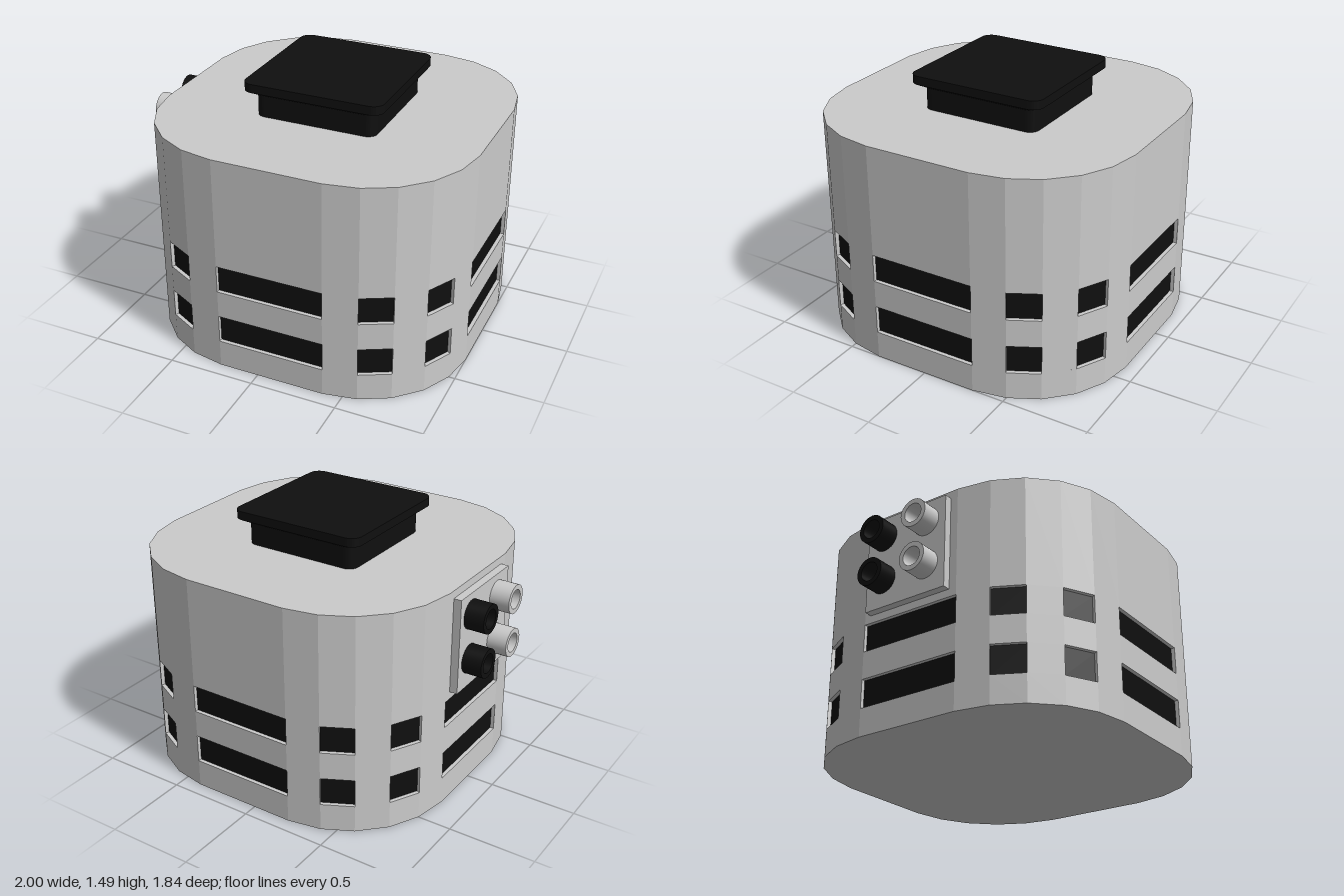
import * as THREE from 'three';
import { toCreasedNormals } from 'three/addons/utils/BufferGeometryUtils.js';

const CX = 0.08; // centre of the housing in x
const TOP = 1.285;
const RECESS = 0.025;
const SLOTS = [[0.16, 0.325], [0.485, 0.645]];

const grey = new THREE.MeshStandardMaterial({ color: 0xcccccc });
const black = new THREE.MeshStandardMaterial({ color: 0x0f0f0f });

function addMesh(parent, name, geometry, material) {
  const mesh = new THREE.Mesh(geometry, material);
  mesh.name = name;
  parent.add(mesh);
  return mesh;
}

// Upright prism of a plan shape between two heights
function prism(shape, y0, y1) {
  return new THREE.ExtrudeGeometry(shape, { depth: y1 - y0, bevelEnabled: false, curveSegments: 4 })
    .rotateX(-Math.PI / 2).translate(0, y0, 0);
}

// 24-sided rounded-square plan, counter-clockwise
function planPoints() {
  const corner = [[0.92, 0.31], [0.885, 0.5], [0.8, 0.665], [0.665, 0.8], [0.5, 0.885], [0.31, 0.92]];
  const points = [];
  for (let q = 0; q < 4; q++) {
    for (const [x, y] of corner) {
      points.push(new THREE.Vector2(x, y).rotateAround(new THREE.Vector2(), q * Math.PI / 2));
    }
  }
  return points;
}

// Square plan with small rounded corners
function roundedSquare(h, r) {
  const s = new THREE.Shape();
  s.absarc(h - r, h - r, r, 0, Math.PI / 2);
  s.absarc(r - h, h - r, r, Math.PI / 2, Math.PI);
  s.absarc(r - h, r - h, r, Math.PI, Math.PI * 1.5);
  s.absarc(h - r, r - h, r, Math.PI * 1.5, Math.PI * 2);
  s.closePath();
  return s;
}

function buildHousing() {
  const housing = new THREE.Group();
  housing.name = 'housing';
  const points = planPoints();

  // Every second side is a slotted one, set back in the slot bands
  const notched = [];
  const sides = [];
  points.forEach((a, i) => {
    const b = points[(i + 1) % points.length];
    notched.push(a);
    if (i % 2 === 0) return;
    const inward = new THREE.Vector2(a.y - b.y, b.x - a.x).normalize().multiplyScalar(RECESS);
    const a2 = a.clone().add(inward), b2 = b.clone().add(inward);
    notched.push(a2, b2);
    sides.push([a2, b2]);
  });

  // Solid bands alternate with slot bands
  const levels = [0, ...SLOTS.flat(), TOP];
  for (let i = 0; i < levels.length - 1; i++) {
    const slotted = i % 2 === 1;
    const shape = new THREE.Shape(slotted ? notched : points);
    addMesh(housing, slotted ? 'slotBand' : 'wallBand', prism(shape, levels[i], levels[i + 1]), grey);
  }

  // Dark panels at the back of the slots
  for (const [y0, y1] of SLOTS) {
    for (const [a, b] of sides) {
      const panel = addMesh(housing, 'windowPanel',
        new THREE.BoxGeometry(a.distanceTo(b), y1 - y0, 0.006), black);
      panel.position.set((a.x + b.x) / 2, (y0 + y1) / 2, -(a.y + b.y) / 2);
      panel.rotation.y = Math.atan2(b.y - a.y, b.x - a.x);
    }
  }
  return housing;
}

function buildCap() {
  const cap = new THREE.Group();
  cap.name = 'topCap';
  const lip = 0.405, neck = 0.35, flareY = 1.41, lipY = 1.44;
  addMesh(cap, 'capNeck', prism(roundedSquare(neck, 0.055), TOP, flareY), black);
  addMesh(cap, 'capLip', prism(roundedSquare(lip, 0.064), lipY, 1.49), black);

  // Flare: lip outline drawn in at its lower end
  const flare = prism(roundedSquare(lip, 0.064), flareY, lipY);
  const p = flare.attributes.position;
  for (let i = 0; i < p.count; i++) {
    if (p.getY(i) < (flareY + lipY) / 2) {
      p.setX(i, p.getX(i) * neck / lip);
      p.setZ(i, p.getZ(i) * neck / lip);
    }
  }
  flare.computeVertexNormals();
  addMesh(cap, 'capFlare', flare, black);
  return cap;
}

function buildConnectors() {
  const connectors = new THREE.Group();
  connectors.name = 'connectors';
  const face = -0.885;
  addMesh(connectors, 'connectorPlate', new THREE.BoxGeometry(0.055, 0.55, 0.535), grey)
    .position.set(face + 0.0275, 0.965, -0.003);

  // Hollow sockets: dark pair towards the back, grey pair towards the front
  const R = 0.083, r = 0.055, h = 0.115;
  const profile = [[R, 0], [R, h], [r, h], [r, 0]].map(([x, y]) => new THREE.Vector2(x, y));
  const tube = toCreasedNormals(new THREE.LatheGeometry(profile, 32), 0.6);
  for (const y of [0.856, 1.118]) {
    for (const [z, material] of [[-0.153, black], [0.136, grey]]) {
      const socket = addMesh(connectors, 'socket', tube, material);
      socket.position.set(face, y, z);
      socket.rotation.z = Math.PI / 2;
    }
  }
  return connectors;
}

export function createModel() {
  const model = new THREE.Group();
  model.name = 'device';
  const housing = buildHousing();
  const cap = buildCap();
  housing.position.x = cap.position.x = CX;
  model.add(housing, cap, buildConnectors());
  return model;
}
